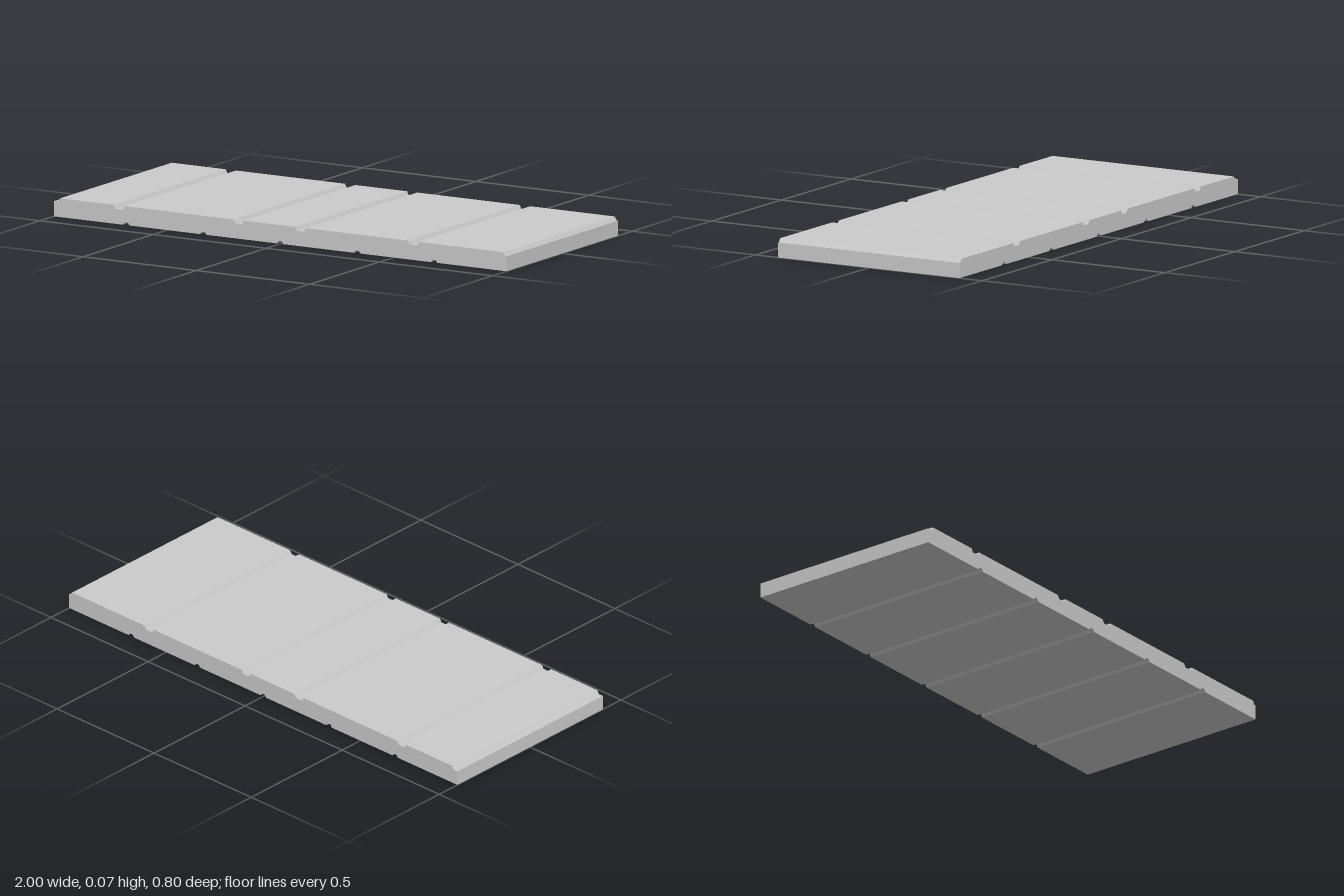
import * as THREE from 'three';

const TOP = 0.072, LEDGE = 0.058, DEPTH = 0.8;

export function createModel() {
  const group = new THREE.Group();
  group.name = 'groovedBoard';

  // Underside, left to right, with small relief grooves
  const pts = [[-1, 0]];
  for (const x of [-0.68, -0.34, 0, 0.34, 0.68]) {
    pts.push([x - 0.014, 0], [x - 0.007, 0.01], [x + 0.007, 0.01], [x + 0.014, 0]);
  }
  // Right end with its chamfered lip
  pts.push([1, 0], [1, LEDGE], [0.993, LEDGE], [0.985, TOP]);

  // Top face, right to left, with bevelled channels
  for (const x of [0.588, 0.09, -0.184, -0.711]) {
    pts.push([x + 0.023, TOP], [x + 0.016, LEDGE], [x - 0.016, LEDGE], [x - 0.023, TOP]);
  }
  // Left end ledge
  pts.push([-0.972, TOP], [-0.98, LEDGE], [-1, LEDGE]);

  // Profile swept through the depth of the board
  const shape = new THREE.Shape(pts.map(([x, y]) => new THREE.Vector2(x, y)));
  const geometry = new THREE.ExtrudeGeometry(shape, { depth: DEPTH, bevelEnabled: false });
  geometry.translate(0, 0, -DEPTH / 2);

  const board = new THREE.Mesh(
    geometry,
    new THREE.MeshStandardMaterial({ color: 0xcccccc, flatShading: true })
  );
  board.name = 'board';
  group.add(board);
  return group;
}
